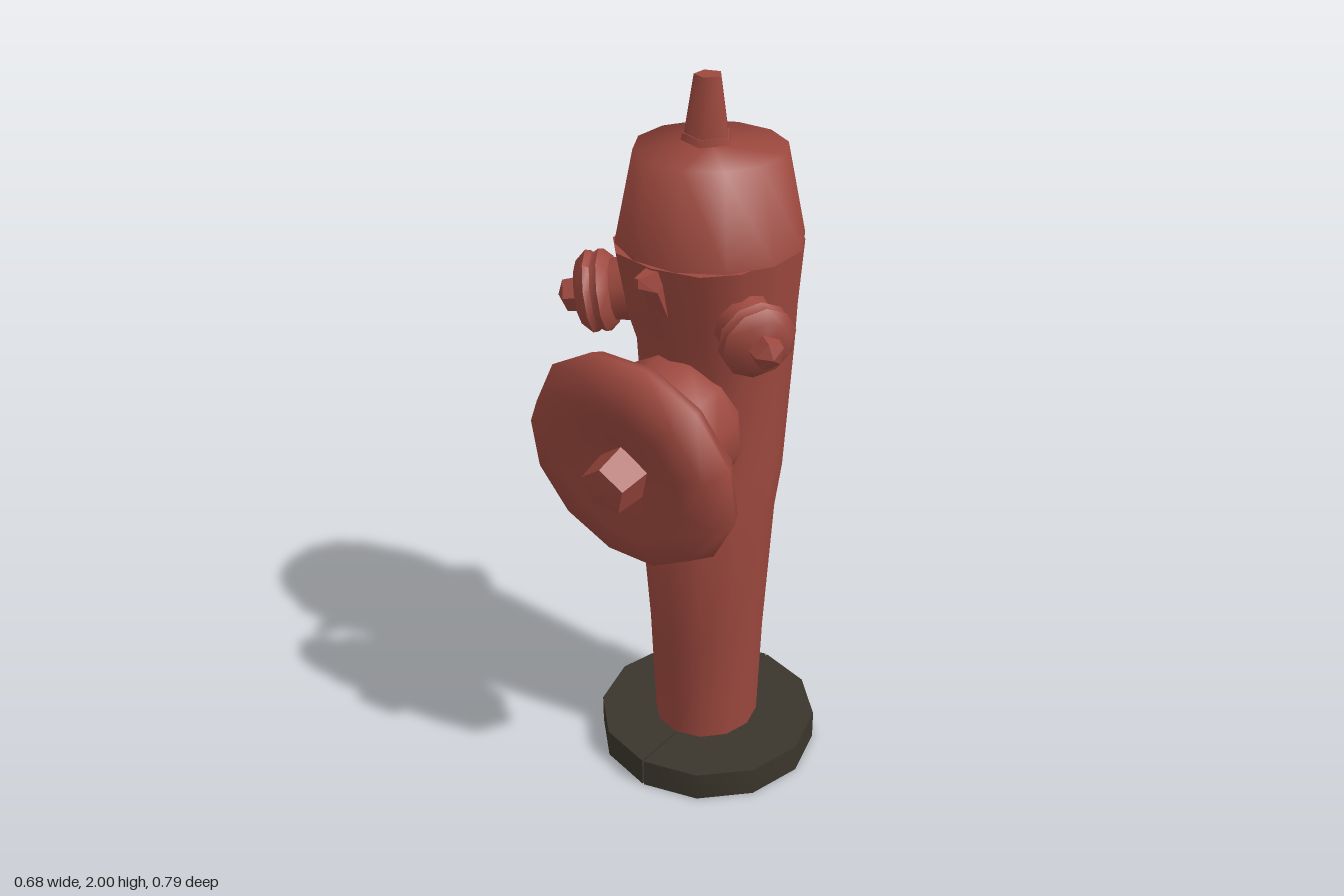
import * as THREE from 'three';
import { toCreasedNormals } from 'three/addons/utils/BufferGeometryUtils.js';

const red = new THREE.MeshStandardMaterial({ color: 0x9c483e, side: THREE.DoubleSide });
red.name = 'hydrant red';
const dark = new THREE.MeshStandardMaterial({ color: 0x3b362c });
dark.name = 'dark base';

const SIDES = 12;
const AXIS_Z = -0.08; // the barrel stands slightly behind the centre

function add(parent, name, geometry, material = red) {
  const mesh = new THREE.Mesh(geometry, material);
  mesh.name = name;
  parent.add(mesh);
  return mesh;
}

// Rounded loops: [y, half width, front z, back z, power], a lower power is squarer
function loftBody(rows) {
  const pos = [], index = [];
  for (const [y, w, front, back, power] of rows) {
    const round = (v) => Math.sign(v) * Math.abs(v) ** power;
    for (let i = 0; i < SIDES; i++) {
      const a = (i / SIDES) * Math.PI * 2;
      pos.push(w * round(Math.sin(a)), y, (front + back) / 2 + ((front - back) / 2) * round(Math.cos(a)));
    }
  }
  for (let r = 0; r < rows.length - 1; r++) {
    for (let i = 0; i < SIDES; i++) {
      const j = (i + 1) % SIDES;
      const a = r * SIDES + i, b = r * SIDES + j;
      index.push(a, b, b + SIDES, a, b + SIDES, a + SIDES);
    }
  }
  // Closed ends
  const top = (rows.length - 1) * SIDES;
  for (let i = 1; i < SIDES - 1; i++) {
    index.push(0, i + 1, i, top, top + i, top + i + 1);
  }
  const g = new THREE.BufferGeometry();
  g.setAttribute('position', new THREE.Float32BufferAttribute(pos, 3));
  g.setIndex(index);
  return toCreasedNormals(g, 0.9);
}

// Turned part from [radius, distance] points
function turned(points, sides, crease = 1.2) {
  const g = new THREE.LatheGeometry(points.map(([r, s]) => new THREE.Vector2(r, s)), sides, Math.PI / sides);
  return toCreasedNormals(g, crease);
}

// Group whose local +y points outward along dir
function outlet(parent, name, position, dir) {
  const g = new THREE.Group();
  g.name = name;
  g.position.set(...position);
  g.quaternion.setFromUnitVectors(new THREE.Vector3(0, 1, 0), new THREE.Vector3(...dir).normalize());
  parent.add(g);
  return g;
}

// Fin on the centre line from [z, y] points, narrowing from the root to the tip
function fin(points, width, root, tip) {
  const shape = new THREE.Shape(points.map(([z, y]) => new THREE.Vector2(z, y)));
  const g = new THREE.ExtrudeGeometry(shape, { depth: width, bevelEnabled: false });
  g.translate(0, 0, -width / 2);
  g.rotateY(-Math.PI / 2);
  const p = g.attributes.position;
  for (let i = 0; i < p.count; i++) {
    const t = THREE.MathUtils.clamp((p.getZ(i) - root) / (tip - root), 0, 1);
    p.setX(i, p.getX(i) * (1 - 0.8 * t));
  }
  g.computeVertexNormals();
  return g;
}

// Half of the base ring
function halfRing(outer, inner, height) {
  const shape = new THREE.Shape();
  const n = SIDES / 2;
  for (let i = 0; i <= n; i++) {
    const a = -Math.PI / 2 + (i / n) * Math.PI;
    shape[i ? 'lineTo' : 'moveTo'](outer * Math.cos(a), outer * Math.sin(a));
  }
  for (let i = n; i >= 0; i--) {
    const a = -Math.PI / 2 + (i / n) * Math.PI;
    shape.lineTo(inner * Math.cos(a), inner * Math.sin(a));
  }
  const g = new THREE.ExtrudeGeometry(shape, { depth: height, bevelEnabled: false });
  g.rotateX(-Math.PI / 2);
  return toCreasedNormals(g, 0.6);
}

export function createModel() {
  const model = new THREE.Group();
  model.name = 'hydrant';

  // Split base ring
  for (const side of [1, -1]) {
    const half = add(model, side > 0 ? 'baseLeft' : 'baseRight', halfRing(0.313, 0.12, 0.085), dark);
    half.position.set(0.007 + side * 0.003, 0, AXIS_Z);
    if (side < 0) half.rotation.y = Math.PI;
  }

  // Barrel
  add(model, 'barrel', loftBody([
    [0.03, 0.146, 0.07, -0.235, 1],
    [0.4, 0.162, 0.08, -0.242, 1],
    [0.8, 0.185, 0.115, -0.272, 1],
    [0.92, 0.19, 0.065, -0.283, 0.95],
    [1.28, 0.202, 0.08, -0.305, 0.85],
    [1.4, 0.207, 0.125, -0.312, 0.8],
    [1.577, 0.222, 0.16, -0.322, 0.78],
  ]));

  // Bonnet with softly shaded crown
  const bonnet = add(model, 'bonnet', turned([[0, 1.582], [0.244, 1.582], [0.194, 1.822], [0, 1.826]], SIDES, 1.5));
  bonnet.position.set(0.005, 0, AXIS_Z);

  // Top nut
  const nut = new THREE.Group();
  nut.name = 'topNut';
  nut.position.set(0, 0, -0.075);
  nut.rotation.y = 0.3;
  model.add(nut);
  add(nut, 'nutFlange', new THREE.CylinderGeometry(0.063, 0.068, 0.018, 5)).position.y = 1.845;
  add(nut, 'nutStem', new THREE.CylinderGeometry(0.036, 0.06, 0.148, 5)).position.y = 1.926;

  // Large front outlet, tipped slightly downward
  const front = outlet(model, 'frontOutlet', [0.008, 1.073, 0.315], [0, -0.17, 0.985]);
  add(front, 'frontNeck', turned([[0.13, -0.36], [0.19, -0.27], [0.18, -0.2], [0.19, -0.13]], SIDES));
  const collar = add(front, 'frontCollar', turned([[0.18, -0.17], [0.235, -0.15], [0.25, -0.09]], SIDES));
  collar.position.z = 0.025;
  collar.scale.x = 1.1;
  add(front, 'frontCap', turned([
    [0.2, -0.1], [0.3, -0.1], [0.318, -0.065], [0.283, 0], [0.2, 0.006], [0.09, -0.018], [0, -0.028],
  ], SIDES));
  const frontNut = add(front, 'frontNut', turned([[0.08, -0.03], [0.068, 0.07], [0, 0.08]], 5, 0.3));
  frontNut.position.x = 0.008;

  // Small side outlets, the right one larger
  for (const side of [1, -1]) {
    const g = outlet(model, side > 0 ? 'leftOutlet' : 'rightOutlet',
      [side * 0.251, 1.418, 0.063], [side * 0.85, -0.15, 0.5]);
    g.scale.set(1, 1, 1).multiplyScalar(side > 0 ? 0.88 : 1);
    add(g, 'sideNeck', turned([[0.095, -0.13], [0.08, -0.03]], 10));
    add(g, 'sideCap', turned([
      [0, -0.05], [0.09, -0.045], [0.112, -0.02], [0.1, 0.0], [0.112, 0.015], [0.085, 0.045], [0, 0.045],
    ], 10));
    add(g, 'sideNut', turned([[0.05, 0.03], [0.045, 0.085], [0, 0.105]], 5, 0.3));
  }

  // Small fins on the front and back seams
  add(model, 'frontFin', fin([[0.1, 1.38], [0.165, 1.52], [0.217, 1.545], [0.217, 1.57], [0.1, 1.574]], 0.06, 0.15, 0.217));
  add(model, 'backFin', fin([[-0.28, 1.24], [-0.28, 1.46], [-0.32, 1.44], [-0.37, 1.36], [-0.36, 1.32], [-0.315, 1.25]], 0.05, -0.3, -0.37));
  add(model, 'backSeam', fin([[-0.22, 0.42], [-0.22, 0.6], [-0.268, 0.6], [-0.262, 0.42]], 0.015, -0.22, -0.3));

  return model;
}
